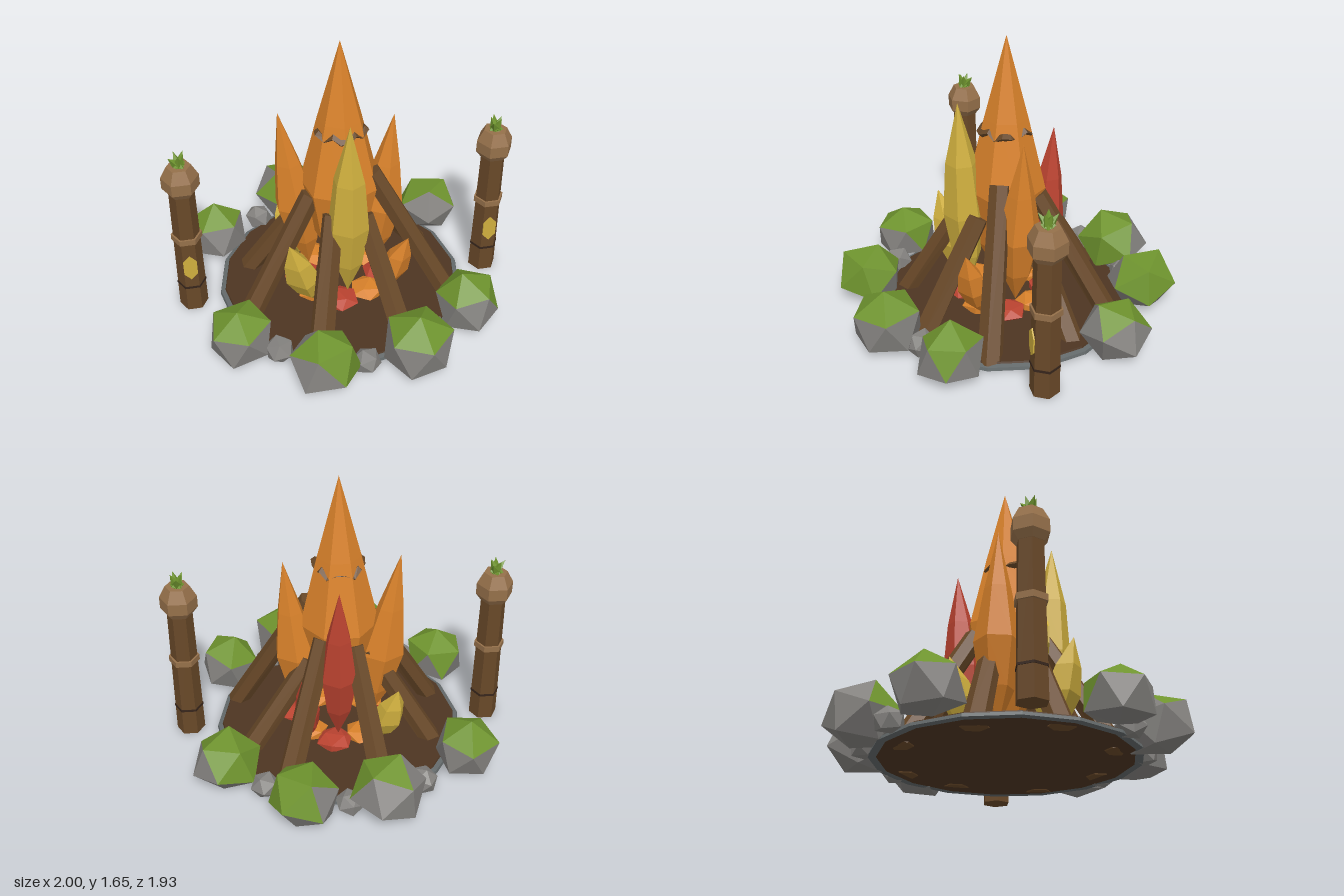
import * as THREE from 'three';

const V = (x, y, z) => new THREE.Vector3(x, y, z);
const mat = (name, color) => {
  const m = new THREE.MeshStandardMaterial({ color });
  m.name = name;
  return m;
};

export function createModel() {
  const M = {
    soil: mat('soil brown', 0x4d3522),
    wood: mat('wood brown', 0x684828),
    pale: mat('pale wood', 0x95704a),
    dark: mat('dark wood', 0x35241a),
    stone: mat('stone grey', 0x84827f),
    rim: mat('rim grey', 0x63696a),
    moss: mat('moss green', 0x6e932e),
    orange: mat('flame orange', 0xd8812a),
    yellow: mat('flame yellow', 0xcfaf3e),
    red: mat('flame red', 0xbb4330),
  };
  const model = new THREE.Group();
  model.name = 'campfire';

  // Faceted copy of a geometry
  const facet = (geo) => {
    const g = geo.index ? geo.toNonIndexed() : geo;
    g.computeVertexNormals();
    return g;
  };
  const add = (name, geo, material, parent = model) => {
    const mesh = new THREE.Mesh(facet(geo), material);
    mesh.name = name;
    parent.add(mesh);
    return mesh;
  };
  const eachVertex = (geo, rule) => {
    const p = geo.attributes.position, v = V(0, 0, 0);
    for (let i = 0; i < p.count; i++) {
      v.fromBufferAttribute(p, i);
      rule(v);
      p.setXYZ(i, v.x, v.y, v.z);
    }
    return geo;
  };

  // Ground disc with a narrow stone rim
  add('ground', new THREE.CylinderGeometry(0.7, 0.715, 0.03, 16).translate(0, 0.021, 0), M.soil);
  const rim = [[0.69, 0.002], [0.735, 0.002], [0.73, 0.02], [0.69, 0.03]].map(([r, y]) => new THREE.Vector2(r, y));
  add('groundRim', new THREE.LatheGeometry(rim, 16), M.rim);

  // Irregular boulder, flat underneath; faces turned towards the moss direction are green
  function rock(name, x, z, r, top, seed, mossDir) {
    const geo = new THREE.IcosahedronGeometry(1.06, 0);
    geo.rotateX(seed * 1.7).rotateY(seed * 2.3);
    eachVertex(geo, (v) => {
      const k = 1 + 0.08 * Math.sin(v.x * 5 + seed * 3) * Math.cos(v.z * 4 + v.y * 3 + seed);
      v.multiplyScalar(k);
      v.set(x + v.x * r, Math.max(0, top * 0.43 + v.y * top * 0.6), z + v.z * r);
    });
    add(name, geo, mossDir ? [M.stone, M.moss] : M.stone);
    if (mossDir) {
      const n = geo.attributes.normal, d = V(mossDir[0], 0.95, mossDir[1]);
      for (let i = 0; i < n.count; i += 3) {
        geo.addGroup(i, 3, V(0, 0, 0).fromBufferAttribute(n, i).dot(d) > 0.4 ? 1 : 0);
      }
    }
  }
  [
    [-0.21, -0.76, 0.195, 0.32, [0.3, 0.35]], [0.25, -0.77, 0.195, 0.31, [0.45, -0.1]],
    [-0.69, -0.44, 0.18, 0.3, [-0.1, -0.3]], [0.67, -0.45, 0.185, 0.29, [-0.15, -0.25]],
    [-0.66, 0.48, 0.18, 0.29, [0.1, -0.3]], [0.66, 0.48, 0.18, 0.31, [0.1, 0]],
    [-0.24, 0.77, 0.19, 0.31, [0.45, 0.15]], [0.29, 0.76, 0.195, 0.33, [0, 0.2]],
  ].forEach(([x, z, r, h, moss], i) => rock('mossyRock', x, z, r, h, i + 1, moss));
  [
    [-0.42, -0.62], [0, -0.75], [0.46, -0.59], [-0.46, 0.57], [0, 0.74], [0.42, 0.59],
  ].forEach(([x, z], i) => rock('pebble', x, z, 0.08, i % 3 === 1 ? 0.11 : 0.13, i + 10));

  // Leaning logs, cut flat at the ground: foot x, z, then head x, y, z
  [
    [-0.2, -0.56, -0.07, 0.68, -0.18], [0.33, -0.53, 0.1, 0.72, -0.16],
    [0.55, -0.24, 0.17, 0.54, -0.1], [-0.53, -0.21, -0.16, 0.6, -0.09],
    [-0.58, 0.21, -0.18, 0.72, 0.06], [0.61, 0.25, 0.16, 0.84, 0.07],
    [-0.22, 0.55, -0.08, 0.66, 0.19], [0.26, 0.54, 0.1, 0.62, 0.18],
  ].forEach(([fx, fz, hx, hy, hz]) => {
    const foot = V(fx, -0.01, fz), head = V(hx, hy, hz);
    const dir = head.clone().sub(foot);
    const turn = new THREE.Quaternion().setFromUnitVectors(V(0, 1, 0), dir.clone().normalize());
    const mid = foot.add(head).multiplyScalar(0.5);
    const geo = new THREE.CylinderGeometry(0.06, 0.073, dir.length(), 6).applyQuaternion(turn);
    geo.translate(mid.x, mid.y, mid.z);
    add('log', eachVertex(geo, (v) => { v.y = Math.max(v.y, 0); }), M.wood);
  });

  // Pointed flame: spindle cross-sections sheared from base to tip
  function flame(name, material, base, tip, r, sides, shoulder = 0.72) {
    const profile = [[0, 0], [0.7, 0.2], [1, 0.43], [shoulder, 0.7], [0, 1]];
    const geo = new THREE.LatheGeometry(profile.map(([a, b]) => new THREE.Vector2(a * r, b)), sides);
    eachVertex(geo, (v) => {
      const c = V(...base).lerp(V(...tip), v.y);
      v.set(v.x + c.x, c.y, v.z + c.z);
    });
    add(name, geo, material);
  }
  flame('mainFlame', M.orange, [0, 0.08, 0], [0, 1.65, -0.01], 0.23, 7, 0.55);
  flame('sideFlame', M.orange, [-0.18, 0.1, -0.07], [-0.335, 1.2, -0.08], 0.13, 6, 0.58);
  flame('sideFlame', M.orange, [0.2, 0.1, -0.01], [0.31, 1.15, -0.02], 0.13, 6, 0.58);
  flame('frontFlame', M.yellow, [0, 0.1, 0.22], [0, 1.29, 0.265], 0.12, 6, 0.75);
  flame('backFlame', M.red, [0.02, 0.08, -0.21], [0.02, 1.09, -0.28], 0.11, 6, 0.65);
  flame('smallFlame', M.yellow, [-0.2, 0.05, 0.2], [-0.35, 0.58, 0.32], 0.11, 5);
  flame('smallFlame', M.orange, [0.2, 0.05, 0.2], [0.33, 0.52, 0.31], 0.095, 5);
  flame('smallFlame', M.yellow, [-0.22, 0.05, -0.22], [-0.31, 0.46, -0.33], 0.1, 5);
  flame('smallFlame', M.red, [0.17, 0.05, -0.17], [0.23, 0.5, -0.25], 0.075, 5);

  // Charred ring partly sunk into the main flame
  const ring = new THREE.TorusGeometry(0.126, 0.022, 4, 18).rotateX(Math.PI / 2);
  eachVertex(ring, (v) => {
    const a = Math.atan2(v.z, v.x);
    const k = 1 + 0.09 * Math.sin(a * 5);
    v.set(v.x * k, v.y + 1.105 + 0.018 * Math.sin(a * 7), v.z * k);
  });
  add('charredRing', ring, M.wood);

  // Glowing embers under the fire
  for (let i = 0; i < 8; i++) {
    const a = (i / 8) * Math.PI * 2 + 0.18, d = i % 2 ? 0.22 : 0.24;
    const ember = new THREE.IcosahedronGeometry(0.11, 0).rotateY(i).scale(1, 0.42, 1);
    add('ember', ember.translate(Math.cos(a) * d, 0.053, Math.sin(a) * d), i % 2 ? M.orange : M.red);
  }

  // Hexagonal posts on both sides
  const hex = (name, top, bottom, y0, y1, material, parent) =>
    add(name, new THREE.CylinderGeometry(top, bottom, y1 - y0, 6)
      .rotateY(Math.PI / 6).translate(0, (y0 + y1) / 2, 0), material, parent);
  for (const side of [-1, 1]) {
    const post = new THREE.Group();
    post.name = side > 0 ? 'leftPost' : 'rightPost';
    post.position.set(side * 0.895, 0, 0.025);
    model.add(post);
    hex('postShaft', 0.072, 0.083, 0, 0.84, M.wood, post);
    hex('darkBand', 0.084, 0.085, 0.165, 0.178, M.dark, post);
    hex('paleBand', 0.088, 0.088, 0.495, 0.53, M.pale, post);
    hex('postHeadBase', 0.105, 0.075, 0.82, 0.86, M.pale, post);
    hex('postHead', 0.105, 0.105, 0.86, 0.93, M.pale, post);
    hex('postCap', 0.068, 0.105, 0.93, 1.0, M.pale, post);
    // Diamond badge on the front face
    const badge = new THREE.CylinderGeometry(0.045, 0.045, 0.008, 6).rotateX(Math.PI / 2);
    add('badge', badge.scale(1, 1.9, 1).translate(0, 0.325, 0.074), M.yellow, post);
    // Leaf tuft
    for (let i = 0; i < 5; i++) {
      const leaf = new THREE.ConeGeometry(0.04, 0.1, 4).translate(0, 0.035, 0);
      leaf.rotateZ(-0.4 - 0.3 * (i % 2)).rotateY(i * 1.257 + side * 0.3).translate(0, 1.0, 0);
      add('leaf', leaf, M.moss, post);
    }
  }
  return model;
}
